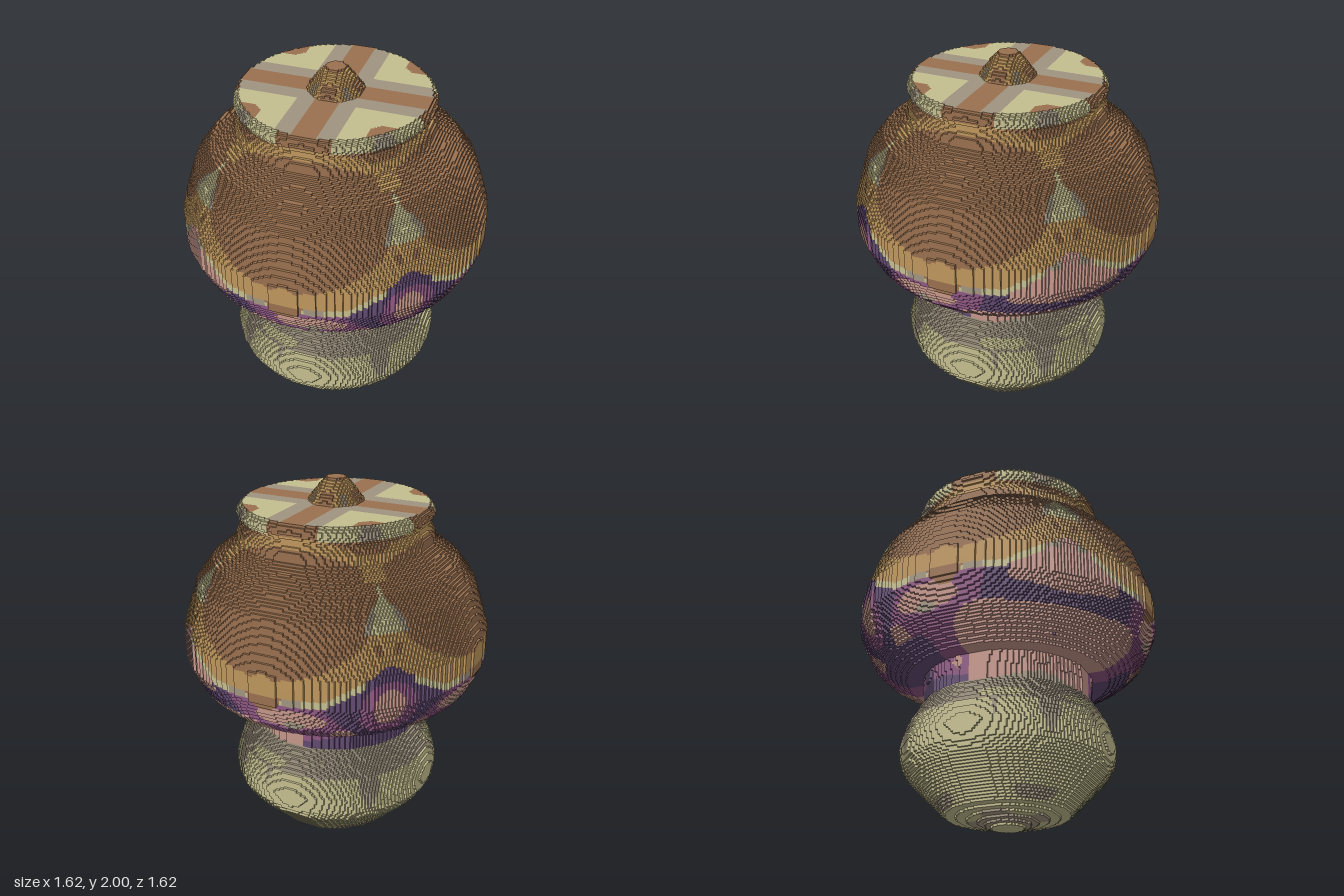
import * as THREE from 'three';

const N = 160, S = 2 / N, H = 66; // layers, block size, half width in blocks

// silhouette as [height, radius]
const PROFILE = [
  [0, 0.07], [0.03, 0.15], [0.05, 0.24], [0.07, 0.33], [0.14, 0.4], [0.2, 0.46], [0.26, 0.52],
  [0.32, 0.555], [0.4, 0.565], [0.46, 0.55], [0.52, 0.53], [0.58, 0.495], [0.65, 0.45], [0.72, 0.45], [0.8, 0.455],
  [0.805, 0.55], [0.835, 0.62], [0.865, 0.68], [0.92, 0.74], [1.0, 0.78], [1.07, 0.81], [1.22, 0.81],
  [1.34, 0.775], [1.475, 0.73], [1.58, 0.65], [1.66, 0.55], [1.69, 0.515], [1.73, 0.51], [1.78, 0.485],
  [1.83, 0.51], [1.85, 0.505], [1.87, 0.485], [1.8701, 0.15], [1.91, 0.12], [1.95, 0.09], [2, 0.045],
];
function radiusAt(y) {
  const i = Math.max(1, PROFILE.findIndex((p) => p[0] >= y));
  const [y0, r0] = PROFILE[i - 1], [y1, r1] = PROFILE[i];
  return r0 + ((r1 - r0) * (y - y0)) / (y1 - y0);
}
const RADII = Array.from({ length: N }, (_, j) => radiusAt((j + 0.5) * S));
const solid = (i, j, k) => j >= 0 && j < N && Math.hypot(i + 0.5, k + 0.5) * S < RADII[j];

const COLORS = {
  brown: 0x99704f, gold: 0xbd955c, straw: 0xc4be8f, grey: 0xa09480,
  pink: 0xc4958a, purple: 0x8d5782, darkPurple: 0x614a70,
};
const NAMES = Object.keys(COLORS);

const inEllipse = (x, y, cx, cy, rx, ry) => ((x - cx) / rx) ** 2 + ((y - cy) / ry) ** 2 < 1;

// each painter takes x across a quarter, height y, distance d from the nearest diagonal
function paintBase(x, y, d) {
  if (y > 0.33 && d < 0.06 * Math.min(1, (y - 0.33) / 0.12)) return 'grey';
  if (x > 0.1 && x < 0.16 && y > 0.52 - (x - 0.1) * 0.5) return 'grey';
  if (inEllipse(x, y, -0.17, 0.55, 0.12, 0.03)) return 'straw';
  if (y > 0.51) return 'grey';
  if (x < -0.12 && x > -0.16 && y > 0.4 + (x + 0.16) * 3) return 'grey';
  if (inEllipse(Math.abs(x), y, 0.22, 0.1, 0.06, 0.03)) return 'grey';
  if (inEllipse(x, y, 0, 0.03, 0.1, 0.02)) return 'grey';
  return 'straw';
}

function paintNeck(x, y, d) {
  if (d < 0.2 && x < 0 && y < 0.7 - d * 0.2) return 'grey';
  if (x < 0.03) return 'pink';
  if (inEllipse(x, y, 0.09, 0.77, 0.03, 0.03)) return 'pink';
  if (y < 0.72 - 0.25 * (0.18 - x) * (x < 0.18) || d < 0.05) return 'darkPurple';
  return 'purple';
}

function paintCap(x, y, d) {
  const lower = 1.11 + 0.17 * Math.max(0, 1 - d / 0.32); // lower edge of the gold band
  if (y > lower) {
    const gap = 0.085 * (1.62 - y) / 0.19;
    if (y > 1.42) {
      if (d < gap) return 'straw';
      if (d < gap + 0.03 && y < 1.54) return 'grey';
      return y > 1.63 && d < 0.06 ? 'gold' : 'brown';
    }
    if (inEllipse(x, y, 0, 1.18, 0.06, 0.045)) return 'gold';
    if (inEllipse(x, y, 0, 1.48, 0.47, 0.28)) return 'brown';
    if (inEllipse(d, y, 0.05, 1.35, 0.02, 0.03)) return 'brown';
    return 'gold';
  }
  if (y > 1.02 && Math.abs(x) < 0.09 * (y - 0.99) / 0.1) return 'brown';
  if (y > lower - 0.035 && d > 0.12) return Math.abs(x) > 0.1 && Math.abs(x) < 0.2 ? 'grey' : 'straw';
  if (inEllipse(x, y, 0.13, 0.945, 0.06, 0.025)) return 'grey';
  if (inEllipse(x, y, 0.12, 0.99, 0.18, 0.06)) return 'pink';
  if (inEllipse(x, y, -0.2, 0.8, 0.23, 0.14)) return 'pink';
  if (x > 0) { // ringed spot on one pair of diagonals
    if (inEllipse(d, y, 0, 1.06, 0.08, 0.1)) return 'pink';
    if (inEllipse(d, y, 0, 1.05, 0.15, 0.15)) return 'purple';
    if (d / 0.32 + Math.abs(y - 1.06) / 0.3 < 1) return 'darkPurple';
    if (y < 0.93 && y > 0.86 && d < 0.25) return 'pink';
    return inEllipse(x, y, 0.3, 0.82, 0.14, 0.05) ? 'darkPurple' : 'purple';
  }
  // wide dome on the other pair
  if (y > 1.2 && d > 0.05 && d < 0.1) return 'grey';
  if (y > 0.98 + d * 0.15 && d < 0.3) return 'pink';
  if (y > 0.92 && d < 0.4) return 'darkPurple';
  if (y > 0.84 && d < 0.3) return 'pink';
  return d < 0.1 ? 'darkPurple' : 'purple';
}

function paintCollar(x, y, d) {
  if (!inEllipse(x, y, 0, 1.47, 0.47, 0.285) && inEllipse(x, y, 0, 1.47, 0.5, 0.345)) return 'gold';
  if (y < 1.74 && d < 0.06) return 'gold';
  if (y < 1.8) return 'brown';
  const a = Math.abs(x);
  return a < 0.14 ? 'brown' : a < 0.31 ? 'straw' : 'grey';
}

// crossed bands on the flat lid
function paintLid(x, z) {
  const a = Math.abs(x);
  if (a < 0.068) return 'brown';
  if (a < 0.145) return 'grey';
  return a > 0.28 && z > 0.28 && a + z > 0.59 ? 'brown' : 'straw';
}

function paintFinial(x, y, d) {
  if (y > 1.985) return 'brown';
  if (y < 1.94 && Math.abs(x) < 0.035) return 'brown';
  return d < 0.012 && y < 1.92 ? 'grey' : 'gold';
}

const PARTS = [
  ['base', 0, 0.65, paintBase], ['neck', 0.65, 0.8, paintNeck], ['cap', 0.8, 1.6875, paintCap],
  ['collar', 1.6875, 1.875, paintCollar], ['finial', 1.875, 2, paintFinial],
];

// stepped solid of revolution: outer block faces, joined into strips of one colour
function buildPart([name, y0, y1, paint], materials) {
  const buckets = NAMES.map(() => []);
  const colorOf = (i, j, k, axis, sign) => {
    let x = (i + 0.5) * S, z = (k + 0.5) * S;
    const y = (j + 0.5) * S;
    if (Math.abs(x) > Math.abs(z)) [x, z] = [z, x];
    if (z < 0) { x = -x; z = -z; }
    if (name === 'collar' && axis === 1 && sign > 0 && y > 1.86) return NAMES.indexOf(paintLid(x, z));
    return NAMES.indexOf(paint(x, y, (z - Math.abs(x)) / Math.SQRT2));
  };
  const jMin = Math.round(y0 / S), jMax = Math.round(y1 / S);

  for (let axis = 0; axis < 3; axis++) for (const sign of [-1, 1]) {
    const runAxis = axis === 0 ? 2 : 0; // strips run sideways
    const step = [0, 0, 0];
    step[axis] = sign;
    const addStrip = (cell, from, to, c) => {
      const lo = [...cell], hi = cell.map((v) => v + 1);
      lo[runAxis] = from;
      hi[runAxis] = to;
      const u = (axis + 1) % 3, v = (axis + 2) % 3;
      const corner = (a, b) => {
        const p = [0, 0, 0];
        p[axis] = sign > 0 ? hi[axis] : lo[axis];
        p[u] = a ? hi[u] : lo[u];
        p[v] = b ? hi[v] : lo[v];
        return p.map((n) => n * S);
      };
      const q = [corner(0, 0), corner(1, 0), corner(1, 1), corner(0, 1)];
      if (sign < 0) q.reverse();
      for (const n of [0, 1, 2, 0, 2, 3]) buckets[c].push(...q[n]);
    };
    for (let j = jMin; j < jMax; j++) for (let m = -H; m < H; m++) {
      let start = 0, current = -1;
      for (let r = -H; r <= H; r++) {
        const [i, k] = runAxis === 0 ? [r, m] : [m, r];
        const open = solid(i, j, k) && !solid(i + step[0], j + step[1], k + step[2]);
        const c = open ? colorOf(i, j, k, axis, sign) : -1;
        if (c === current) continue;
        if (current >= 0) addStrip(runAxis === 0 ? [0, j, m] : [m, j, 0], start, r, current);
        start = r;
        current = c;
      }
    }
  }

  const geometry = new THREE.BufferGeometry();
  let offset = 0;
  buckets.forEach((b, c) => {
    if (b.length) geometry.addGroup(offset, b.length / 3, c);
    offset += b.length / 3;
  });
  geometry.setAttribute('position', new THREE.Float32BufferAttribute(buckets.flat(), 3));
  geometry.computeVertexNormals();
  const mesh = new THREE.Mesh(geometry, materials);
  mesh.name = name;
  return mesh;
}

export function createModel() {
  const materials = NAMES.map((n) => {
    const m = new THREE.MeshStandardMaterial({ color: COLORS[n] });
    m.name = n;
    return m;
  });
  const group = new THREE.Group();
  group.name = 'steppedMushroom';
  for (const part of PARTS) group.add(buildPart(part, materials));
  return group;
}
